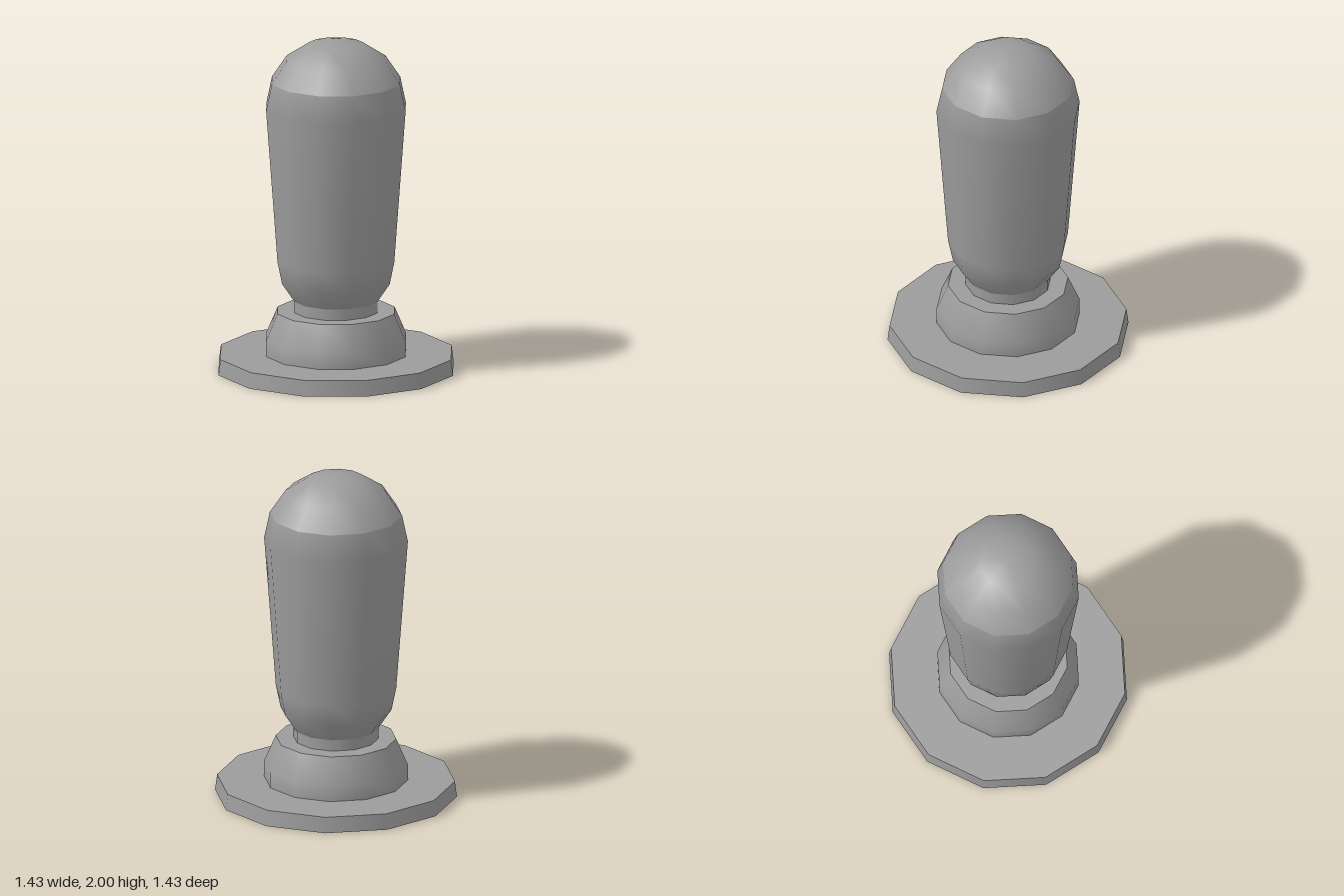
import * as THREE from 'three';

const SIDES = 12;
const material = new THREE.MeshStandardMaterial({ color: 0x9c9c9c, side: THREE.DoubleSide });

// Smooth turned surface from [radius, height] pairs, listed bottom to top (or outside in).
function turned(name, profile) {
  const points = profile.map(([r, y]) => new THREE.Vector2(r, y));
  const geometry = new THREE.LatheGeometry(points, SIDES);
  // Even, unit-length normals, pointing straight along the axis at a pole
  const { position, normal } = geometry.attributes;
  for (let i = 0; i < position.count; i++) {
    if (Math.hypot(position.getX(i), position.getZ(i)) < 1e-6) {
      normal.setXYZ(i, 0, Math.sign(normal.getY(i)), 0);
    }
  }
  geometry.normalizeNormals();
  const mesh = new THREE.Mesh(geometry, material);
  mesh.name = name;
  return mesh;
}

export function createModel() {
  const group = new THREE.Group();
  group.name = 'knob';

  // Flange: hollow underneath, open in the middle below the collar
  group.add(turned('flangeRim', [[0.715, 0], [0.703, 0.095]]));
  group.add(turned('flangeTop', [[0.703, 0.095], [0.425, 0.095]]));

  // Collar: hollow, with a flat ledge around the neck
  group.add(turned('collar', [[0.425, 0.095], [0.425, 0.19], [0.356, 0.35]]));
  group.add(turned('collarLedge', [[0.356, 0.35], [0.252, 0.35]]));

  // Neck: reaches down into the collar and is closed at the bottom
  group.add(turned('neckBottom', [[0, 0.265], [0.252, 0.265]]));
  group.add(turned('neck', [[0.252, 0.265], [0.252, 0.417]]));

  // Grip: flared body with a separate domed cap
  group.add(turned('grip', [
    [0.252, 0.417], [0.328, 0.53], [0.356, 0.665], [0.425, 1.585], [0.391, 1.745],
  ]));
  group.add(turned('gripCap', [[0.391, 1.745], [0.3, 1.88], [0.163, 1.968], [0, 2]]));

  return group;
}
